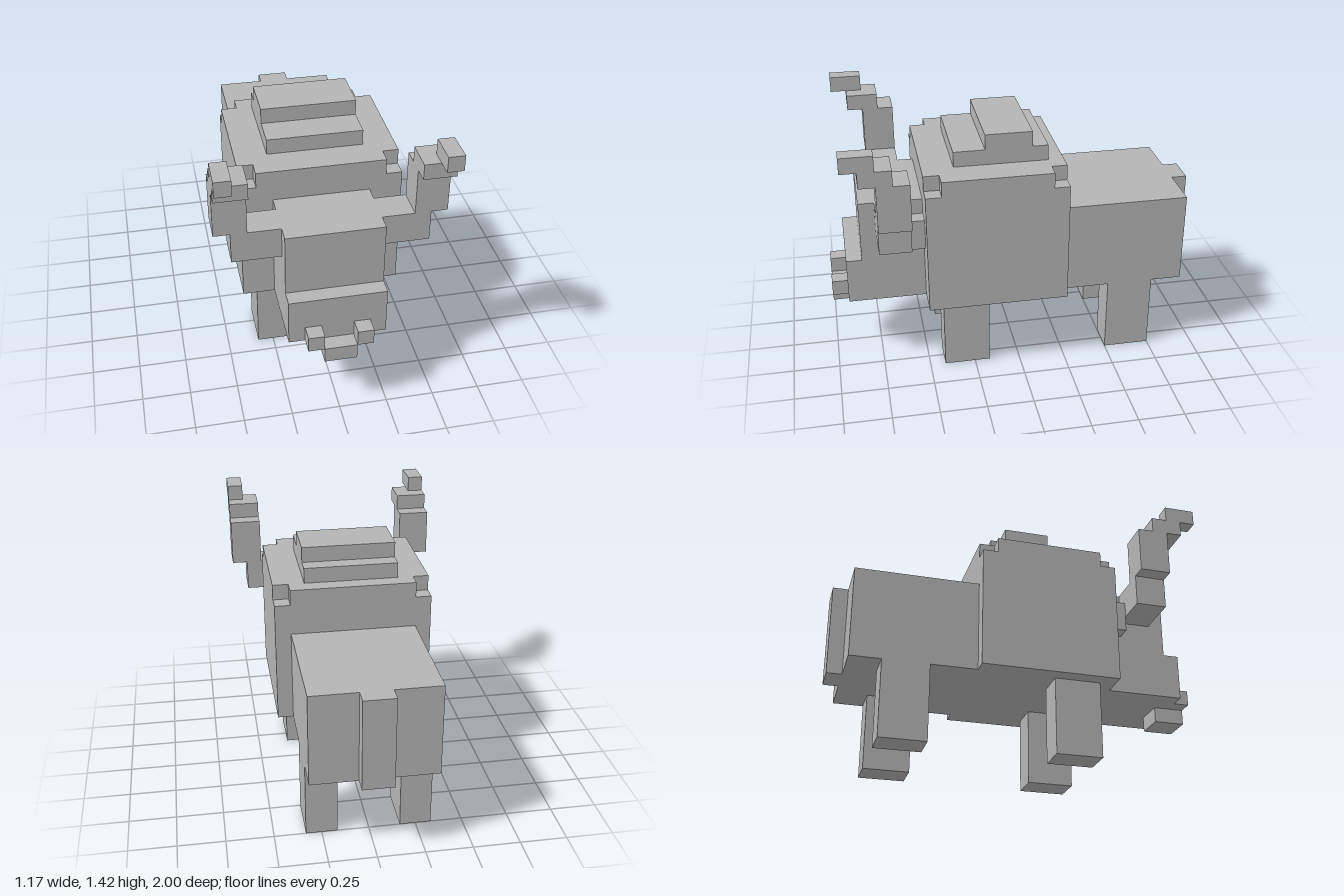
import * as THREE from 'three';

// All parts sit on a grid of 24 cells along the 2 unit length.
const CELL = 1 / 12;

export function createModel() {
  const model = new THREE.Group();
  model.name = 'blockBull';
  const hide = new THREE.MeshStandardMaterial({ color: 0xb4b4b4 });
  hide.name = 'grey hide';

  // Box given by its [min, max] cell range on each axis.
  function block(name, [x0, x1], [y0, y1], [z0, z1]) {
    const geometry = new THREE.BoxGeometry((x1 - x0) * CELL, (y1 - y0) * CELL, (z1 - z0) * CELL);
    const mesh = new THREE.Mesh(geometry, hide);
    mesh.name = name;
    mesh.position.set((x0 + x1) / 2, (y0 + y1) / 2, (z0 + z1) / 2).multiplyScalar(CELL);
    model.add(mesh);
  }

  // The same box on the left (+x) and right (-x).
  function pair(name, [x0, x1], y, z) {
    block(name + 'Left', [x0, x1], y, z);
    block(name + 'Right', [-x1, -x0], y, z);
  }

  // Body: high shoulders with notched top corners, low hindquarters
  block('shoulders', [-5, 5], [5, 13], [-3, 6]);
  block('shoulderTop', [-4, 4], [13, 14], [-3, 6]);
  pair('shoulderTopEdge', [4, 5], [13, 14], [-2, 5]);
  block('lowerHump', [-3, 3], [14, 15], [-2, 4]);
  block('upperHump', [-3, 3], [15, 16], [-1, 2]);
  block('hindquarters', [-4, 4], [5, 11], [-11, -3]);
  block('tail', [-1, 1], [5, 11], [-12, -11]);

  // Legs
  pair('frontLeg', [2, 4], [0, 5], [2, 5]);
  pair('hindLeg', [2, 4], [0, 5], [-9, -6]);

  // Head, snout and nose ring
  block('head', [-3, 3], [5, 12], [6, 10]);
  block('snout', [-3, 3], [5, 8], [10, 11]);
  pair('ear', [3, 4], [9, 11], [6, 7]);
  pair('noseRingSide', [1, 2], [5, 6], [11, 12]);
  block('noseRingBottom', [-1, 1], [4, 5], [10, 12]);

  // Horns step outwards, upwards and forwards
  pair('hornBase', [3, 6], [10, 12], [7, 9]);
  pair('hornColumn', [5, 7], [12, 15], [7, 9]);
  pair('hornBend', [5, 7], [15, 16], [8, 10]);
  pair('hornTip', [6, 7], [16, 17], [9, 11]);

  return model;
}
